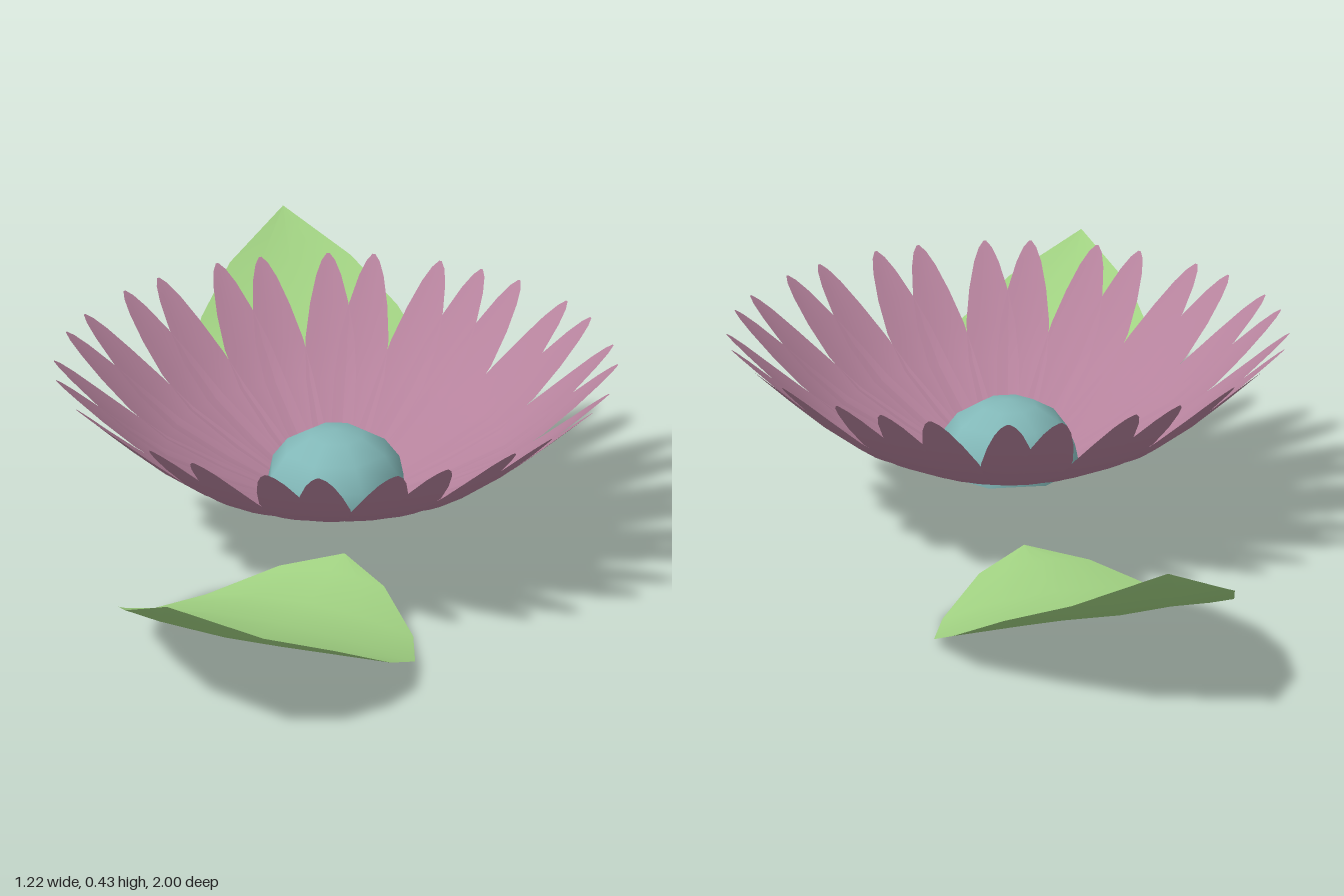
import * as THREE from 'three';

const material = (color) => new THREE.MeshStandardMaterial({ color, side: THREE.DoubleSide });

// Blade growing along +z from rows of [z, middle y, edge y, half width]
function bladeGeometry(rows, columns) {
  const positions = [];
  const index = [];
  for (const [z, midY, edgeY, half] of rows) {
    for (let c = 0; c <= columns; c++) {
      const u = (2 * c) / columns - 1;
      positions.push(u * half, midY + (edgeY - midY) * u * u, z);
    }
  }
  const n = columns + 1;
  for (let r = 0; r < rows.length - 1; r++) {
    for (let c = 0; c < columns; c++) {
      const a = r * n + c;
      index.push(a, a + n, a + 1, a + 1, a + n, a + n + 1);
    }
  }
  const geometry = new THREE.BufferGeometry();
  geometry.setAttribute('position', new THREE.Float32BufferAttribute(positions, 3));
  geometry.setIndex(index);
  geometry.computeVertexNormals();
  return geometry;
}

export function createModel() {
  const model = new THREE.Group();
  model.name = 'waterFlower';

  // Flower head: two overlapping turns of upswept petals
  const flower = new THREE.Group();
  flower.name = 'flowerHead';
  flower.position.set(0.02, 0, 0);
  model.add(flower);

  const petalGeometry = bladeGeometry([
    [0.12, 0.115, 0.117, 0.025],
    [0.24, 0.163, 0.168, 0.045],
    [0.36, 0.222, 0.228, 0.056],
    [0.44, 0.285, 0.29, 0.055],
    [0.505, 0.345, 0.348, 0.043],
    [0.555, 0.393, 0.395, 0.028],
    [0.582, 0.42, 0.42, 0.015],
    [0.595, 0.432, 0.432, 0.003],
  ], 4);
  const petalMaterial = material(0xb5829c);
  for (let i = 0; i < 29; i++) {
    const petal = new THREE.Mesh(petalGeometry, petalMaterial);
    petal.name = 'petal';
    petal.rotation.y = Math.PI + THREE.MathUtils.degToRad(25 * i);
    flower.add(petal);
  }

  // Eight-sided dome in the heart of the flower
  const domeGeometry = new THREE.SphereGeometry(0.16, 8, 4, 0, Math.PI * 2, 0, Math.PI / 2);
  const dome = new THREE.Mesh(domeGeometry, material(0x82b8b8));
  dome.name = 'flowerCentre';
  dome.scale.y = 0.9;
  dome.position.y = 0.122;
  flower.add(dome);

  // Two broad leaves curling up to a point
  const leafGeometry = bladeGeometry([
    [0, 0.056, 0.056, 0],
    [0.07, 0.045, 0.035, 0.12],
    [0.19, 0.028, 0, 0.235],
    [0.32, 0.042, 0.018, 0.292],
    [0.45, 0.083, 0.08, 0.292],
    [0.595, 0.145, 0.165, 0.235],
    [0.735, 0.23, 0.242, 0.147],
    [0.85, 0.335, 0.335, 0],
  ], 4);
  const leafMaterial = material(0xa2d383);
  const leaves = [
    ['frontLeaf', 0.105, 0.15, 0],
    ['backLeaf', -0.09, -0.285, -2.57],
  ];
  for (const [name, x, z, turn] of leaves) {
    const leaf = new THREE.Mesh(leafGeometry, leafMaterial);
    leaf.name = name;
    leaf.position.set(x, 0, z);
    leaf.rotation.y = turn;
    model.add(leaf);
  }

  return model;
}
